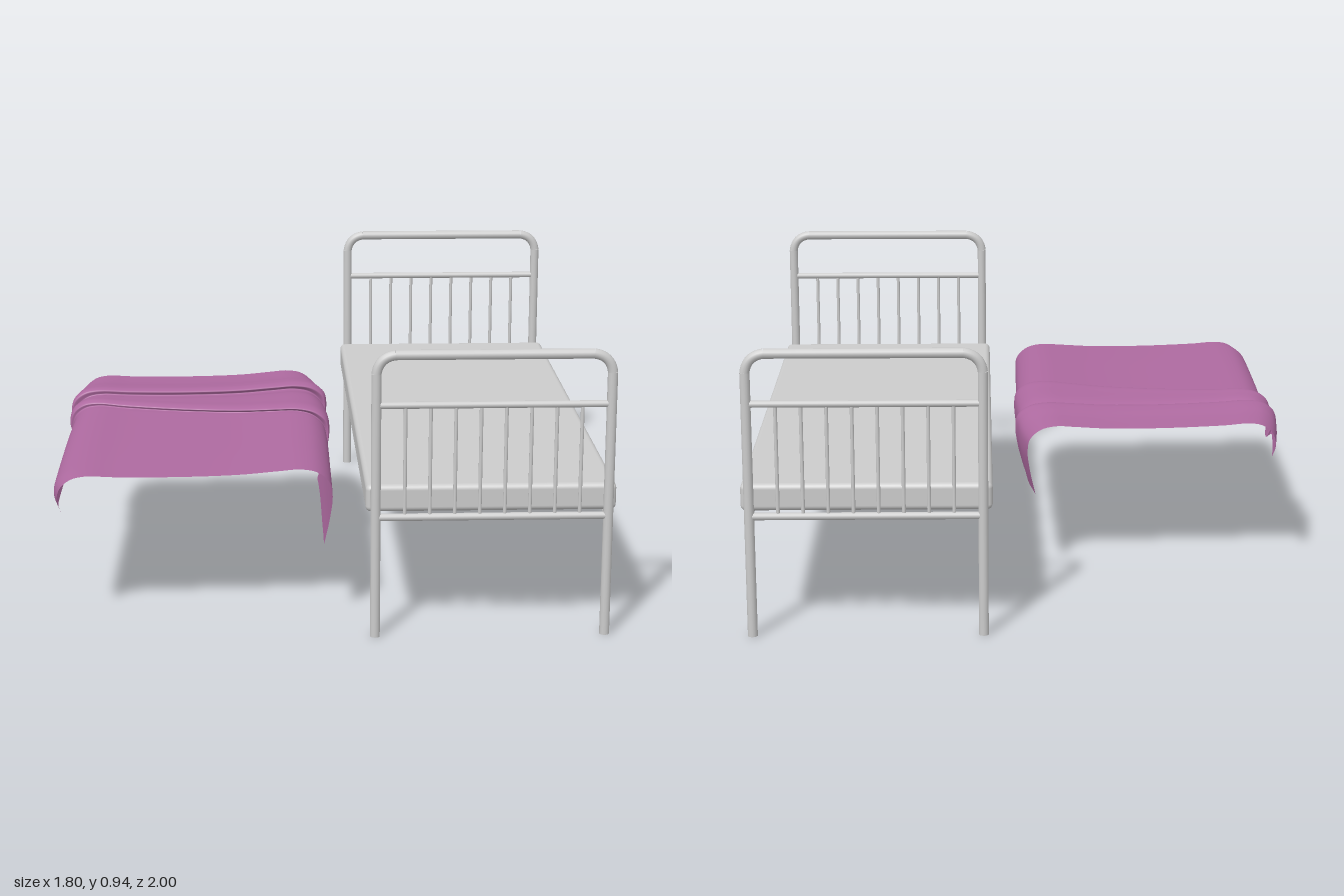
import * as THREE from 'three';
import { RoundedBoxGeometry } from 'three/addons/geometries/RoundedBoxGeometry.js';

const V = (x, y, z) => new THREE.Vector3(x, y, z);
const metal = new THREE.MeshStandardMaterial({ color: 0xcccccc });
const cloth = new THREE.MeshStandardMaterial({ color: 0xae6aa0, side: THREE.DoubleSide });

function add(parent, name, geometry, material = metal) {
  const mesh = new THREE.Mesh(geometry, material);
  mesh.name = name;
  parent.add(mesh);
  return mesh;
}

// Round bar between two points
function bar(parent, name, a, b, r) {
  const mesh = add(parent, name, new THREE.CylinderGeometry(r, r, a.distanceTo(b), 14));
  mesh.position.copy(a).add(b).multiplyScalar(0.5);
  mesh.quaternion.setFromUnitVectors(V(0, 1, 0), b.clone().sub(a).normalize());
}

const X0 = 0.13, X1 = 0.87, END = 0.984, RAIL_Y = 0.4;

// Bent tube with legs, two cross rails and eight spindles
function endFrame(name, z) {
  const g = new THREE.Group();
  g.name = name;
  const top = 0.929, bend = 0.06, r = 0.016;
  bar(g, 'leg', V(X0, 0, z), V(X0, top - bend, z), r);
  bar(g, 'leg', V(X1, 0, z), V(X1, top - bend, z), r);
  bar(g, 'topRail', V(X0 + bend, top, z), V(X1 - bend, top, z), r);
  for (const [x, s] of [[X0, 1], [X1, -1]]) {
    const path = new THREE.QuadraticBezierCurve3(
      V(x, top - bend, z), V(x + s * bend * 0.12, top - bend * 0.12, z), V(x + s * bend, top, z));
    add(g, 'cornerBend', new THREE.TubeGeometry(path, 10, r, 14));
  }
  bar(g, 'upperRail', V(X0, 0.767, z), V(X1, 0.767, z), 0.011);
  bar(g, 'lowerRail', V(X0, RAIL_Y, z), V(X1, RAIL_Y, z), 0.012);
  for (let i = 0; i < 8; i++) {
    const x = 0.222 + i * 0.0795;
    bar(g, 'spindle', V(x, RAIL_Y, z), V(x, 0.767, z), 0.006);
  }
  return g;
}

// Draped sheet: one cross-section swept along rows that form two folds
function blanketGeometry() {
  const profile = new THREE.CatmullRomCurve3([
    [-0.882, 0.41], [-0.895, 0.45], [-0.885, 0.495], [-0.85, 0.524], [-0.8, 0.534], [-0.7, 0.529],
    [-0.5, 0.524], [-0.3, 0.526], [-0.18, 0.534], [-0.1, 0.538], [-0.045, 0.525], [-0.008, 0.49],
    [0, 0.44], [-0.01, 0.36], [-0.028, 0.28],
  ].map(([x, y]) => V(x, y, 0)));
  // Row: z at left, z at right, lift | outward left, outward right, right hem height
  const rows = [
    [-0.36, -0.41, -0.008, -0.02, -0.022, 0.295],
    [-0.24, -0.29, -0.002, -0.002, 0, 0.3],
    [-0.16, -0.21, 0.007, 0.006, 0.01, 0.312],
    [-0.115, -0.165, 0.009, 0.01, 0.016, 0.318],
    [-0.097, -0.137, 0.002, 0.007, 0.01, 0.318],
    [-0.1, -0.145, -0.01, -0.006, -0.002, 0.312],
    [-0.08, -0.12, -0.011, -0.008, 0, 0.302],
    [-0.05, -0.05, 0, -0.005, 0.006, 0.302],
    [-0.01, 0.08, 0.006, 0.001, 0.014, 0.306],
    [0.03, 0.16, 0.008, 0.005, 0.015, 0.312],
    [0.05, 0.19, 0, 0.001, 0.01, 0.31],
    [0.05, 0.18, -0.008, -0.008, 0, 0.29],
    [0.085, 0.215, -0.009, -0.01, 0.002, 0.286],
    [0.3, 0.36, -0.011, -0.003, 0.004, 0.28],
    [0.6, 0.6, -0.014, 0.002, 0.002, 0.276],
    [0.79, 0.75, -0.017, 0.004, 0.001, 0.276],
    [0.89, 0.84, -0.019, -0.012, 0, 0.276],
  ];
  const depth = new THREE.CatmullRomCurve3(rows.map((r) => V(r[0], r[1], r[2])));
  const sides = new THREE.CatmullRomCurve3(rows.map((r) => V(r[3], r[4], r[5])));
  const geo = new THREE.PlaneGeometry(1, 1, 70, 96);
  const pos = geo.attributes.position;
  for (let i = 0; i < pos.count; i++) {
    const p = profile.getPoint(THREE.MathUtils.clamp(pos.getX(i) + 0.5, 0, 1));
    const v = THREE.MathUtils.clamp(0.5 - pos.getY(i), 0, 1);
    const d = depth.getPoint(v), s = sides.getPoint(v);
    const z = THREE.MathUtils.lerp(d.x, d.y, THREE.MathUtils.clamp((p.x + 0.88) / 0.86, 0, 1));
    if (p.x > -0.1) p.y = 0.538 - (0.538 - p.y) * (0.538 - s.z) / 0.258;
    const right = THREE.MathUtils.smoothstep(p.x, -0.3, 0);
    const left = 1 - THREE.MathUtils.smoothstep(p.x, -0.89, -0.65);
    pos.setXYZ(i, p.x + s.y * right - s.x * left, p.y + d.z * (p.y > 0.5 ? 1 : 0.6 + 0.4 * Math.max(0, (p.y - 0.4) / 0.1)), z);
  }
  geo.computeVertexNormals();
  return geo;
}

export function createModel() {
  const model = new THREE.Group();
  const bed = new THREE.Group();
  bed.name = 'bed';
  model.add(bed);

  bed.add(endFrame('headboard', -END), endFrame('footboard', END));

  // Side rails and cross slats under the mattress
  for (const x of [X0, X1]) bar(bed, 'sideRail', V(x, RAIL_Y, -END), V(x, RAIL_Y, END), 0.012);
  for (let i = 1; i <= 6; i++) {
    const z = -END + (i * 2 * END) / 7;
    bar(bed, 'slat', V(X0, RAIL_Y, z), V(X1, RAIL_Y, z), 0.01);
  }

  const mattress = add(bed, 'mattress', new RoundedBoxGeometry(0.8, 0.09, 1.92, 4, 0.018));
  mattress.position.set(0.5, 0.453, 0);

  add(model, 'blanket', blanketGeometry(), cloth);
  return model;
}
